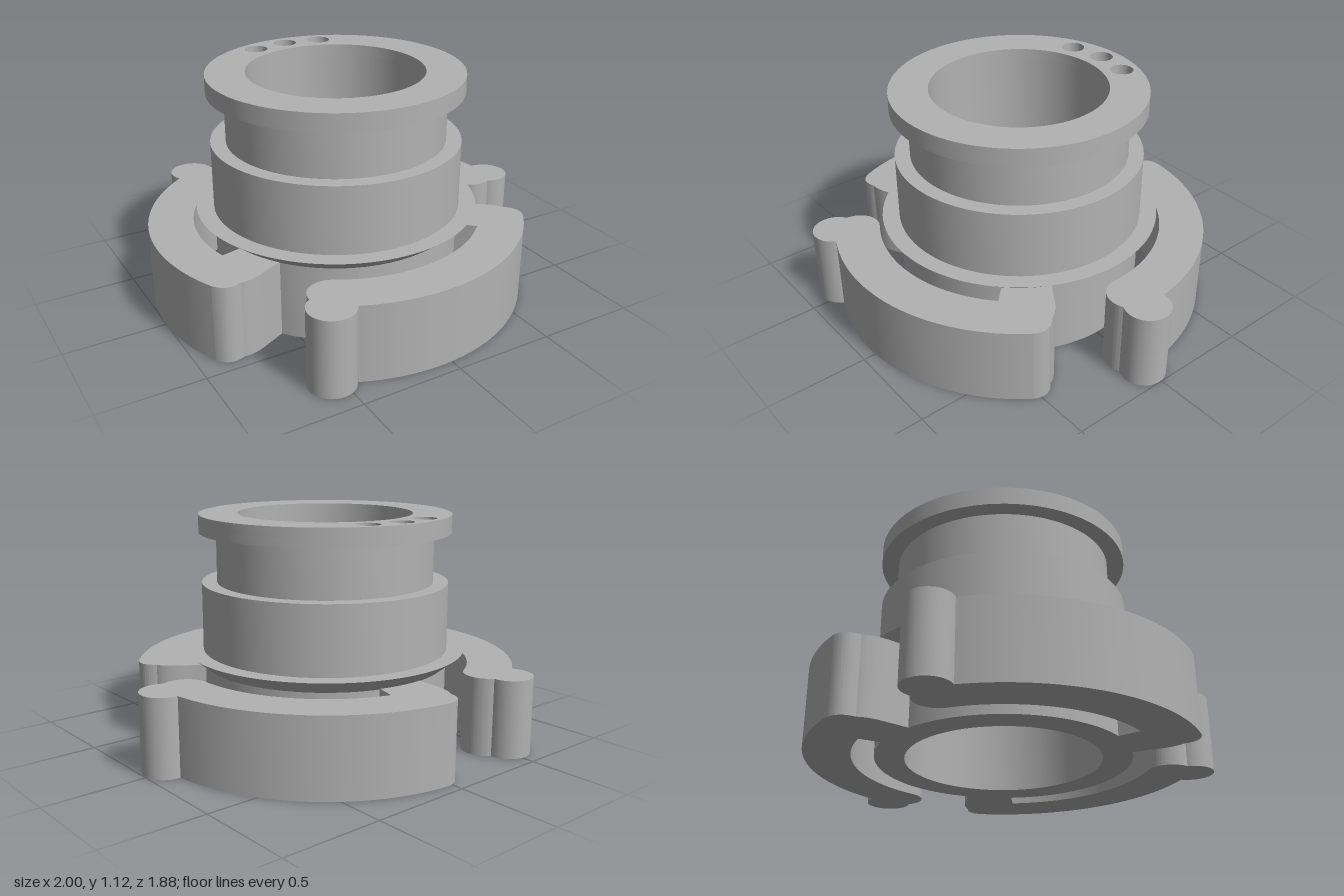
import * as THREE from 'three';
import { toCreasedNormals } from 'three/addons/utils/BufferGeometryUtils.js';

const CREASE = 0.5;
const deg = THREE.MathUtils.degToRad;

// Extrudes a plan shape (shape y = -z) upward from the ground
function extrudeUp(shape, height, curveSegments) {
  const geo = new THREE.ExtrudeGeometry(shape, { depth: height, bevelEnabled: false, curveSegments });
  geo.rotateX(-Math.PI / 2);
  return toCreasedNormals(geo, CREASE);
}

function circlePath(x, y, r) {
  const path = new THREE.Path();
  path.absarc(x, y, r, 0, Math.PI * 2, true);
  return path;
}

export function createModel() {
  const model = new THREE.Group();
  const gray = new THREE.MeshStandardMaterial({ color: 0xb2b2b2 });
  gray.name = 'gray';

  const add = (name, geo, parent = model) => {
    const mesh = new THREE.Mesh(geo, gray);
    mesh.name = name;
    parent.add(mesh);
    return mesh;
  };

  // Turned body: hub, conical flange, collar, neck, lower half of the rim, bores and web
  const profile = [
    [0.47, 0], [0.612, 0], [0.612, 0.38], [0.7, 0.45], [0.615, 0.45], [0.615, 0.787],
    [0.54, 0.787], [0.54, 1.035], [0.625, 1.035], [0.625, 1.075], [0.433, 1.075],
    [0.433, 0.6], [0.19, 0.6], [0.19, 0.53], [0.47, 0.53], [0.47, 0],
  ].map(([r, y]) => new THREE.Vector2(r, y));
  add('body', toCreasedNormals(new THREE.LatheGeometry(profile, 96), CREASE));

  // Upper half of the rim, with three blind holes near the back
  const rim = new THREE.Shape();
  rim.absarc(0, 0, 0.625, 0, Math.PI * 2, false);
  rim.holes.push(circlePath(0, 0, 0.433));
  for (const [x, y] of [[-0.181, 0.505], [0, 0.537], [0.181, 0.505]]) {
    rim.holes.push(circlePath(x, y, 0.058));
  }
  add('rim', extrudeUp(rim, 0.05, 48)).position.y = 1.075;

  // Curved arm: a root joined to the hub, a slotted arc and a rounded free end
  const end = deg(-1), slotEnd = deg(73.5), inner = 0.72, outer = 0.942;
  const mid = (inner + outer) / 2;
  const arm = new THREE.Shape();
  arm.moveTo(-0.058, 0.6);
  arm.lineTo(-0.05, 0.71);
  arm.quadraticCurveTo(-0.047, 0.81, -0.013, 0.85);
  arm.quadraticCurveTo(-0.005, 0.94, 0.088, 0.938);
  arm.absarc(0, 0, outer, deg(84.6), end, true);
  arm.absarc(mid * Math.cos(end), mid * Math.sin(end), (outer - inner) / 2, end, end - Math.PI, true);
  arm.absarc(0, 0, inner, end, slotEnd, false);
  arm.lineTo(0.6 * Math.cos(slotEnd), 0.6 * Math.sin(slotEnd));
  arm.closePath();
  const armGeo = extrudeUp(arm, 0.385, 40);
  const knobGeo = new THREE.CylinderGeometry(0.112, 0.112, 0.385, 40);
  knobGeo.translate(0.944, 0.1925, 0.016);

  // Three arms around the hub, each with a round knob at its tip
  for (let i = 0; i < 3; i++) {
    const group = new THREE.Group();
    group.name = 'armAssembly' + (i + 1);
    add('arm', armGeo, group);
    add('knob', knobGeo, group);
    group.rotation.y = (i * Math.PI * 2) / 3;
    model.add(group);
  }

  // The turning axis sits slightly off the centre of the bounding box
  for (const part of model.children) {
    part.position.x = -0.059;
    part.position.z = -0.004;
  }
  return model;
}
